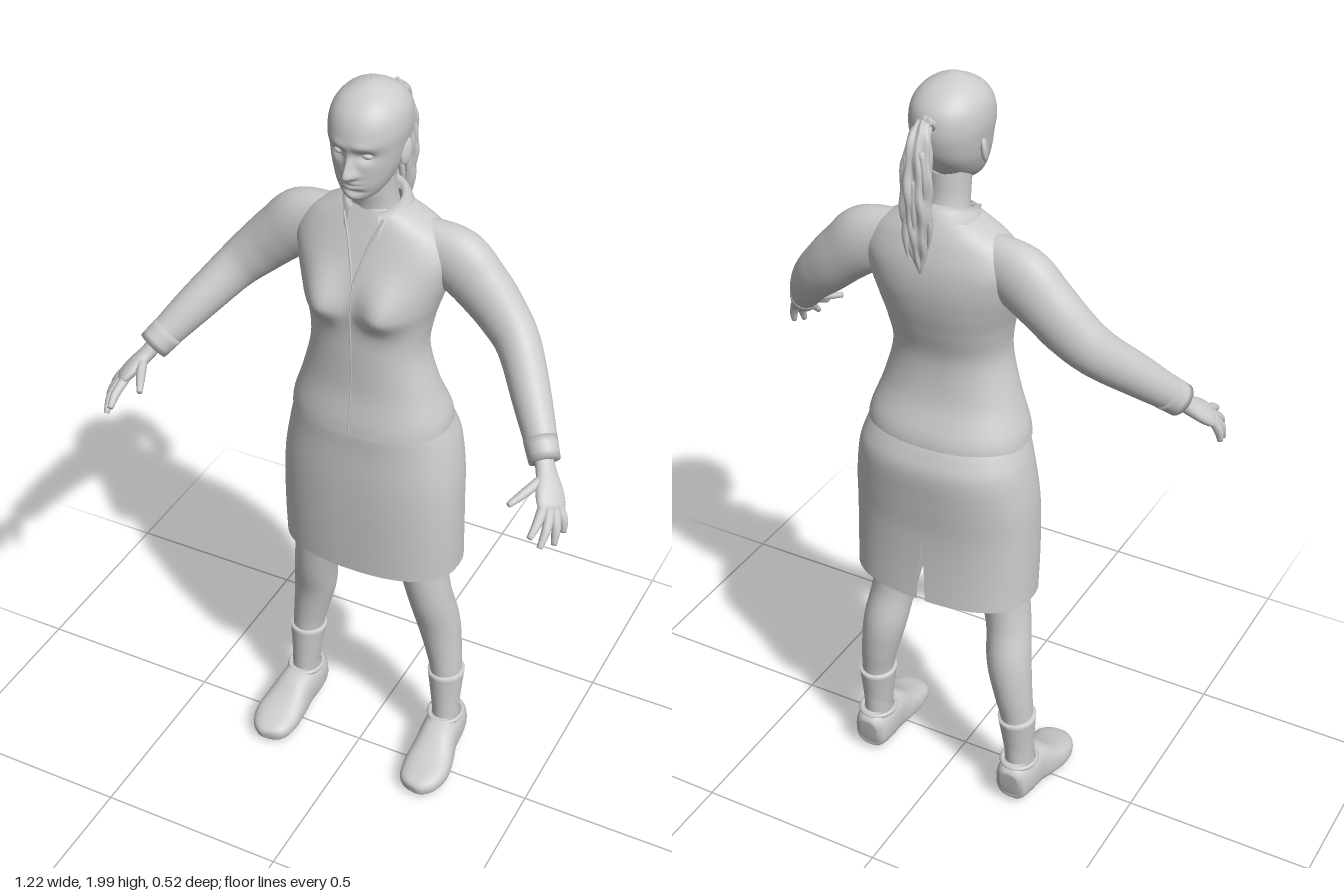
import * as THREE from 'three';

const grey = new THREE.MeshStandardMaterial({ color: 0xcccccc, side: THREE.DoubleSide });
grey.name = 'plain grey';

// Smoothly resample rows of numbers (Catmull-Rom per column)
function resample(rows, n) {
  const out = [], last = rows.length - 1;
  for (let k = 0; k <= n; k++) {
    const u = (k / n) * last, i = Math.min(Math.floor(u), last - 1), t = u - i;
    const p = [rows[Math.max(i - 1, 0)], rows[i], rows[i + 1], rows[Math.min(i + 2, last)]];
    out.push(p[1].map((b, c) => {
      const a = p[0][c], d = p[2][c], e = p[3][c];
      return b + 0.5 * t * (d - a + t * (2 * a - 5 * b + 4 * d - e + t * (3 * (b - d) + e - a)));
    }));
  }
  return out;
}

// Skin a list of rings (arrays of Vector3)
function skin(rings, closed = true) {
  const m = rings[0].length, pos = [], idx = [];
  rings.forEach(r => r.forEach(v => pos.push(v.x, v.y, v.z)));
  for (let i = 0; i < rings.length - 1; i++) {
    for (let j = 0; j < (closed ? m : m - 1); j++) {
      const a = i * m + j, b = i * m + (j + 1) % m;
      idx.push(a, b, a + m, b, b + m, a + m);
    }
  }
  const g = new THREE.BufferGeometry();
  g.setAttribute('position', new THREE.Float32BufferAttribute(pos, 3));
  g.setIndex(idx);
  g.computeVertexNormals();
  return g;
}

const spow = (v, p) => Math.sign(v) * Math.abs(v) ** (2 / p);

// Horizontal cross-sections, rows: [y, half width, back z, front z]
function body(rows, n, segs, { power = 2, warp, gap } = {}) {
  return skin(resample(rows, n).map(([y, w, zb, zf]) => {
    const g = gap ? gap(y) : 0, ring = [];
    for (let j = 0; j < (gap ? segs + 1 : segs); j++) {
      const a = -Math.PI + g + (j / segs) * 2 * (Math.PI - g);
      const v = new THREE.Vector3(w * spow(Math.sin(a), power), y,
        (zb + zf) / 2 + (zf - zb) / 2 * spow(Math.cos(a), power));
      if (warp && Math.cos(a) > 0) warp(v, Math.cos(a));
      ring.push(v);
    }
    return ring;
  }), !gap);
}

// Sections across a path, rows: [x, y, z, radius across ref, radius along ref]
function limb(rows, ref, n = 20, segs = 20, { power = 2, ruffle, capped = true } = {}) {
  const s = resample(rows, n), c = s.map(r => new THREE.Vector3(r[0], r[1], r[2]));
  const rings = s.map((r, i) => {
    const T = c[Math.min(i + 1, n)].clone().sub(c[Math.max(i - 1, 0)]).normalize();
    const B = new THREE.Vector3(...ref);
    B.addScaledVector(T, -T.dot(B)).normalize();
    const A = B.clone().cross(T);
    return Array.from({ length: segs }, (_, j) => {
      const a = j / segs * 2 * Math.PI, k = ruffle ? ruffle(a, i / n) : 1;
      return c[i].clone().addScaledVector(A, k * r[3] * spow(Math.cos(a), power))
        .addScaledVector(B, k * r[4] * spow(Math.sin(a), power));
    });
  });
  if (capped) {
    rings.unshift(rings[0].map(() => c[0].clone()));
    rings.push(rings[0].map(() => c[n].clone()));
  }
  return skin(rings);
}

const bump = (d, s) => Math.exp(-(d * d) / (s * s));

function add(parent, name, geometry) {
  const mesh = new THREE.Mesh(geometry, grey);
  mesh.name = name;
  parent.add(mesh);
  return mesh;
}

// Bust, pushed forward from the chest
function chestWarp(v, f) {
  const s = v.y < 1.455 ? 0.045 : 0.075;
  v.z += 0.04 * Math.sqrt(f) * bump(Math.abs(v.x) - 0.083, 0.055) * bump(v.y - 1.455, s);
}

// Nose, brows, eye sockets, lips and chin
function faceWarp(v, f) {
  const x = Math.abs(v.x), y = v.y;
  const nose = y < 1.815 ? bump(y - 1.815, 0.011) : bump(y - 1.815, 0.034);
  v.z += Math.min(1, f * 2) * (0.032 * nose * bump(x, 0.008 + 0.007 * bump(y - 1.812, 0.015))
    - 0.013 * bump(x - 0.034, 0.02) * bump(y - 1.86, 0.014)
    + 0.005 * bump(x - 0.03, 0.03) * bump(y - 1.885, 0.012)
    + 0.008 * bump(x, 0.022) * (bump(y - 1.795, 0.005) + bump(y - 1.782, 0.006))
    - 0.005 * bump(x, 0.03) * bump(y - 1.769, 0.006)
    + 0.006 * bump(x, 0.02) * bump(y - 1.752, 0.01));
}

function buildSide() {
  const side = new THREE.Group();
  const up = [0, 1, 0], fwd = [0, 0, 1];
  add(side, 'sleeve', limb([
    [0.1, 1.605, -0.1, 0.045, 0.055], [0.195, 1.57, -0.105, 0.06, 0.08], [0.26, 1.518, -0.104, 0.06, 0.073],
    [0.32, 1.46, -0.096, 0.056, 0.066], [0.378, 1.402, -0.07, 0.052, 0.058],
    [0.45, 1.318, 0.01, 0.046, 0.05], [0.513, 1.24, 0.085, 0.036, 0.04]], up, 36, 28));
  add(side, 'cuff', limb([
    [0.495, 1.262, 0.064, 0.04, 0.044], [0.522, 1.228, 0.097, 0.037, 0.042]], up, 3, 24));

  // Hand, flattened across the line of the knuckles
  const across = [0.5, -0.2, -0.8];
  add(side, 'palm', limb([
    [0.51, 1.243, 0.083, 0.02, 0.024], [0.532, 1.212, 0.11, 0.019, 0.026],
    [0.554, 1.185, 0.14, 0.019, 0.037], [0.57, 1.164, 0.165, 0.015, 0.038],
    [0.575, 1.155, 0.174, 0.008, 0.03]], across, 14, 18));
  const fingers = {
    thumb: [0.535, 1.207, 0.125, 0.51, 1.19, 0.18, 0.488, 1.177, 0.222],
    indexFinger: [0.557, 1.168, 0.178, 0.56, 1.148, 0.222, 0.556, 1.128, 0.255],
    middleFinger: [0.57, 1.162, 0.172, 0.58, 1.132, 0.212, 0.577, 1.098, 0.243],
    ringFinger: [0.579, 1.159, 0.163, 0.594, 1.125, 0.188, 0.597, 1.087, 0.203],
    littleFinger: [0.584, 1.16, 0.152, 0.6, 1.13, 0.16, 0.604, 1.1, 0.165],
  };
  for (const [name, p] of Object.entries(fingers)) {
    add(side, name, limb([0, 1, 2].map(i => {
      const r = [0.0125, 0.0115, 0.007][i];
      return [p[3 * i], p[3 * i + 1], p[3 * i + 2], r, r];
    }), across, 8, 10));
  }

  add(side, 'leg', limb([
    [0.11, 0.95, -0.085, 0.09, 0.09], [0.128, 0.8, -0.08, 0.078, 0.085], [0.149, 0.66, -0.07, 0.063, 0.07],
    [0.168, 0.55, -0.078, 0.057, 0.062], [0.183, 0.45, -0.102, 0.057, 0.06],
    [0.198, 0.36, -0.107, 0.049, 0.054], [0.21, 0.27, -0.104, 0.041, 0.046],
    [0.216, 0.11, -0.1, 0.034, 0.04]], fwd, 36, 26));
  add(side, 'sock', limb([
    [0.21, 0.28, -0.105, 0.05, 0.053], [0.213, 0.2, -0.1, 0.041, 0.046],
    [0.216, 0.14, -0.097, 0.036, 0.043], [0.216, 0.09, -0.097, 0.036, 0.043]], fwd, 12, 24));

  // Shoe, sections from heel to toe
  add(side, 'shoe', limb([
    [0.216, 0.078, -0.158, 0.025, 0.036], [0.216, 0.079, -0.145, 0.044, 0.057],
    [0.217, 0.076, -0.1, 0.051, 0.062], [0.22, 0.071, -0.045, 0.052, 0.061],
    [0.225, 0.054, 0.005, 0.06, 0.047], [0.228, 0.042, 0.055, 0.064, 0.036],
    [0.224, 0.036, 0.1, 0.053, 0.028], [0.222, 0.033, 0.122, 0.034, 0.02],
    [0.221, 0.032, 0.129, 0.015, 0.01]], up, 32, 28, { power: 2.6 }));
  const rim = add(side, 'shoeRim', new THREE.TorusGeometry(0.044, 0.007, 8, 28));
  rim.position.set(0.216, 0.128, -0.098);
  rim.rotation.x = Math.PI / 2;
  rim.scale.y = 1.15;

  const ear = add(side, 'ear', new THREE.SphereGeometry(1, 16, 12));
  ear.scale.set(0.008, 0.032, 0.018);
  ear.position.set(0.084, 1.838, -0.066);
  ear.rotation.set(-0.25, -0.35, 0);
  const eye = add(side, 'eye', new THREE.SphereGeometry(0.012, 16, 12));
  eye.scale.set(1.15, 0.65, 0.8);
  eye.position.set(0.034, 1.86, 0.03);

  // Edge of the open neckline
  add(side, 'neckline', limb([[0.05, 1.675, -0.02, 0.003, 0.003], [0.025, 1.61, 0.006, 0.003, 0.003],
    [0.002, 1.525, 0.036, 0.003, 0.003]], fwd, 10, 6));

  // Turned-down collar leaf, from front point to centre back
  const profile = [[0.058, 0], [0.066, 0.012], [0.077, 0.004], [0.088, -0.022]];
  add(side, 'collar', skin(profile.map(([r, dy]) => Array.from({ length: 21 }, (_, j) => {
    const a = 0.5 + j / 20 * (Math.PI - 0.5), c = Math.cos(a);
    const drop = dy - 0.022 * Math.max(0, c) ** 3 * (r > 0.08 ? 1 : 0);
    return new THREE.Vector3(r * Math.sin(a), 1.692 - 0.02 * c + drop, -0.088 + r * c);
  })), false));
  return side;
}

export function createModel() {
  const model = new THREE.Group();
  model.name = 'woman';

  add(model, 'head', body([
    [1.737, 0.006, -0.02, 0.01], [1.742, 0.026, -0.04, 0.03], [1.755, 0.045, -0.07, 0.038],
    [1.78, 0.062, -0.11, 0.045], [1.82, 0.077, -0.148, 0.049], [1.86, 0.085, -0.166, 0.052],
    [1.9, 0.09, -0.172, 0.056], [1.94, 0.085, -0.164, 0.044], [1.97, 0.067, -0.138, 0.018],
    [1.99, 0.038, -0.102, -0.02], [1.999, 0.012, -0.07, -0.045], [2, 0.001, -0.058, -0.056]],
    110, 96, { power: 2.15, warp: faceWarp }));
  add(model, 'neck', body([
    [1.62, 0.07, -0.15, -0.02], [1.68, 0.055, -0.145, -0.03], [1.73, 0.05, -0.135, -0.022],
    [1.79, 0.05, -0.135, -0.01]], 14, 32));

  add(model, 'blouse', body([
    [1.103, 0.206, -0.218, 0.064], [1.14, 0.2, -0.21, 0.06], [1.22, 0.172, -0.177, 0.048],
    [1.32, 0.147, -0.165, 0.046], [1.4, 0.155, -0.182, 0.045], [1.46, 0.172, -0.196, 0.045],
    [1.52, 0.19, -0.203, 0.034], [1.58, 0.198, -0.198, 0.012], [1.635, 0.165, -0.18, -0.01],
    [1.67, 0.11, -0.162, -0.024], [1.69, 0.065, -0.148, -0.032]],
    60, 72, { power: 2.35, warp: chestWarp }));
  add(model, 'placket', limb([[0, 1.53, 0.033, 0.002, 0.003], [0, 1.46, 0.049, 0.002, 0.003],
    [0, 1.4, 0.049, 0.002, 0.003], [0, 1.32, 0.045, 0.002, 0.003], [0, 1.22, 0.047, 0.002, 0.003],
    [0, 1.105, 0.063, 0.002, 0.003]], [0, 0, 1], 24, 6));

  // Skirt, with a slit opening downwards at the centre back
  add(model, 'skirt', body([
    [0.665, 0.24, -0.234, 0.05], [0.76, 0.241, -0.228, 0.053], [0.86, 0.24, -0.227, 0.055],
    [0.95, 0.236, -0.234, 0.055], [1.04, 0.222, -0.24, 0.052], [1.09, 0.208, -0.226, 0.052],
    [1.14, 0.19, -0.2, 0.05]], 40, 72,
    { power: 2.4, gap: y => Math.max(0, 0.85 - y) * 0.14 }));

  // Ponytail with ragged locks and its band
  const lock = (a, t) => 1 + 0.14 * Math.sin(7 * a + 9 * t) + 0.07 * Math.sin(38 * t + 3 * a);
  add(model, 'ponytail', limb([
    [0, 1.915, -0.158, 0.014, 0.014], [0, 1.928, -0.185, 0.017, 0.015], [0, 1.895, -0.21, 0.026, 0.022],
    [0, 1.82, -0.221, 0.034, 0.029], [0, 1.74, -0.223, 0.034, 0.029], [0, 1.66, -0.219, 0.024, 0.022],
    [0, 1.6, -0.214, 0.01, 0.01], [0, 1.575, -0.212, 0.002, 0.002]], [0, 0.3, 1], 60, 42, { ruffle: lock }));
  for (let i = 0; i < 9; i++) {
    const a = i * 2.4, x = Math.sin(a), z = Math.cos(a), y = 1.6 + 0.022 * i;
    add(model, 'hairLock', limb([
      [0.02 * x, y + 0.13, -0.222 + 0.018 * z, 0.008, 0.008], [0.03 * x, y + 0.06, -0.221 + 0.024 * z, 0.009, 0.009],
      [0.024 * x, y, -0.219 + 0.025 * z, 0.001, 0.001]], [1, 0, 0.2], 8, 7));
  }
  const band = add(model, 'hairBand', new THREE.TorusGeometry(0.016, 0.006, 8, 20));
  band.position.set(0, 1.923, -0.172);
  band.rotation.x = -0.4;

  const left = buildSide();
  left.name = 'leftSide';
  const right = buildSide();
  right.name = 'rightSide';
  right.scale.x = -1;
  model.add(left, right);
  return model;
}
